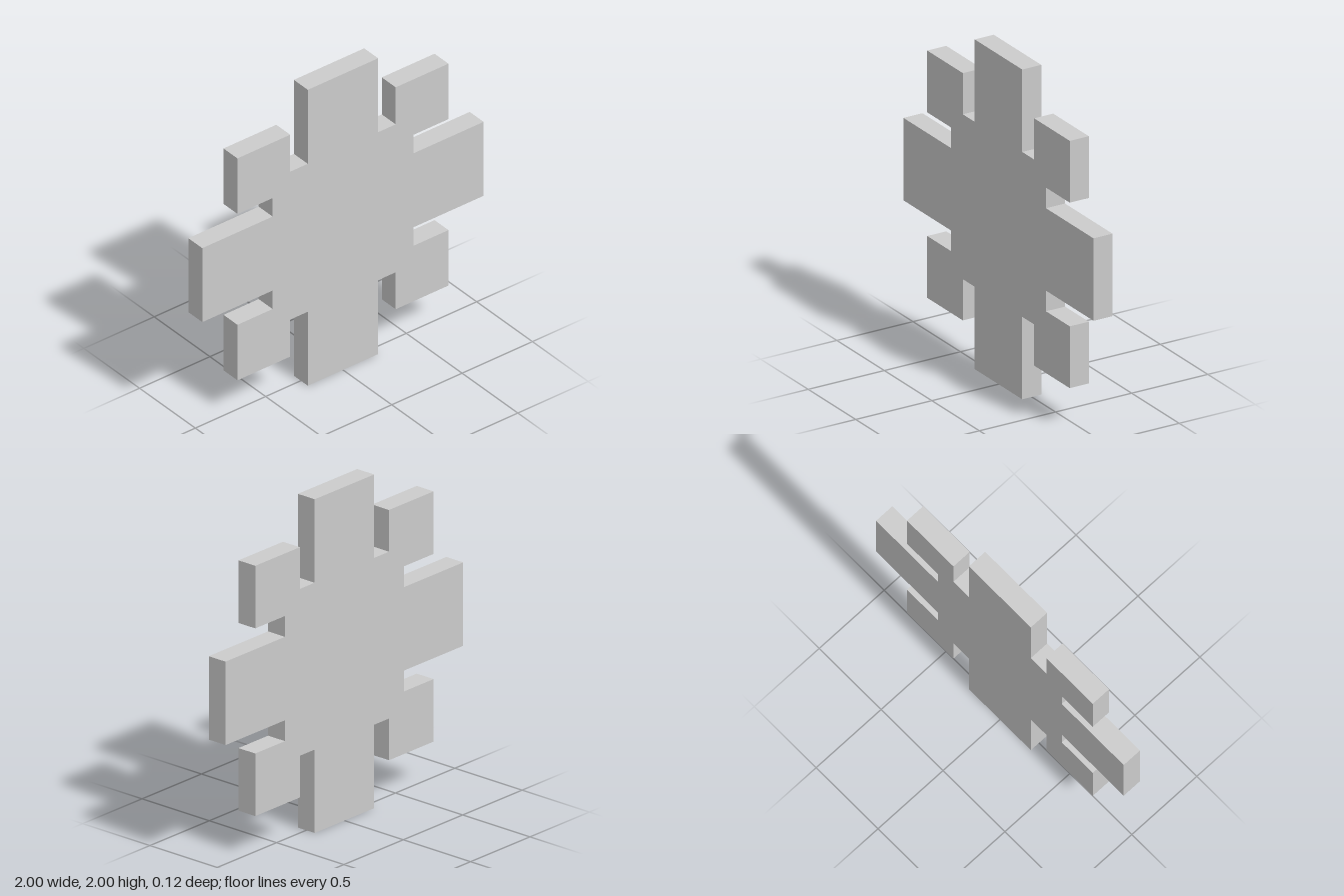
import * as THREE from 'three';

const THICKNESS = 0.125;

// One quarter of the outline, from the side arm round the corner tab to the top arm
const QUARTER = [
  [1, 0.25], [0.5, 0.25], [0.5, 0.375], [0.75, 0.375], [0.75, 0.75],
  [0.375, 0.75], [0.375, 0.5], [0.25, 0.5], [0.25, 1],
];

export function createModel() {
  const group = new THREE.Group();
  group.name = 'notchedPlate';

  // Repeat the quarter outline in four quarter turns
  const points = [];
  for (let turn = 0; turn < 4; turn++) {
    for (const [x, y] of QUARTER) {
      let p = [x, y];
      for (let i = 0; i < turn; i++) p = [-p[1], p[0]];
      points.push(new THREE.Vector2(p[0], p[1]));
    }
  }

  // Flat plate standing upright on its bottom arm
  const geometry = new THREE.ExtrudeGeometry(new THREE.Shape(points), {
    depth: THICKNESS,
    bevelEnabled: false,
  });
  geometry.translate(0, 1, -THICKNESS / 2);

  const plate = new THREE.Mesh(
    geometry,
    new THREE.MeshStandardMaterial({ color: 0xcccccc, flatShading: true })
  );
  plate.name = 'plate';
  group.add(plate);
  return group;
}
